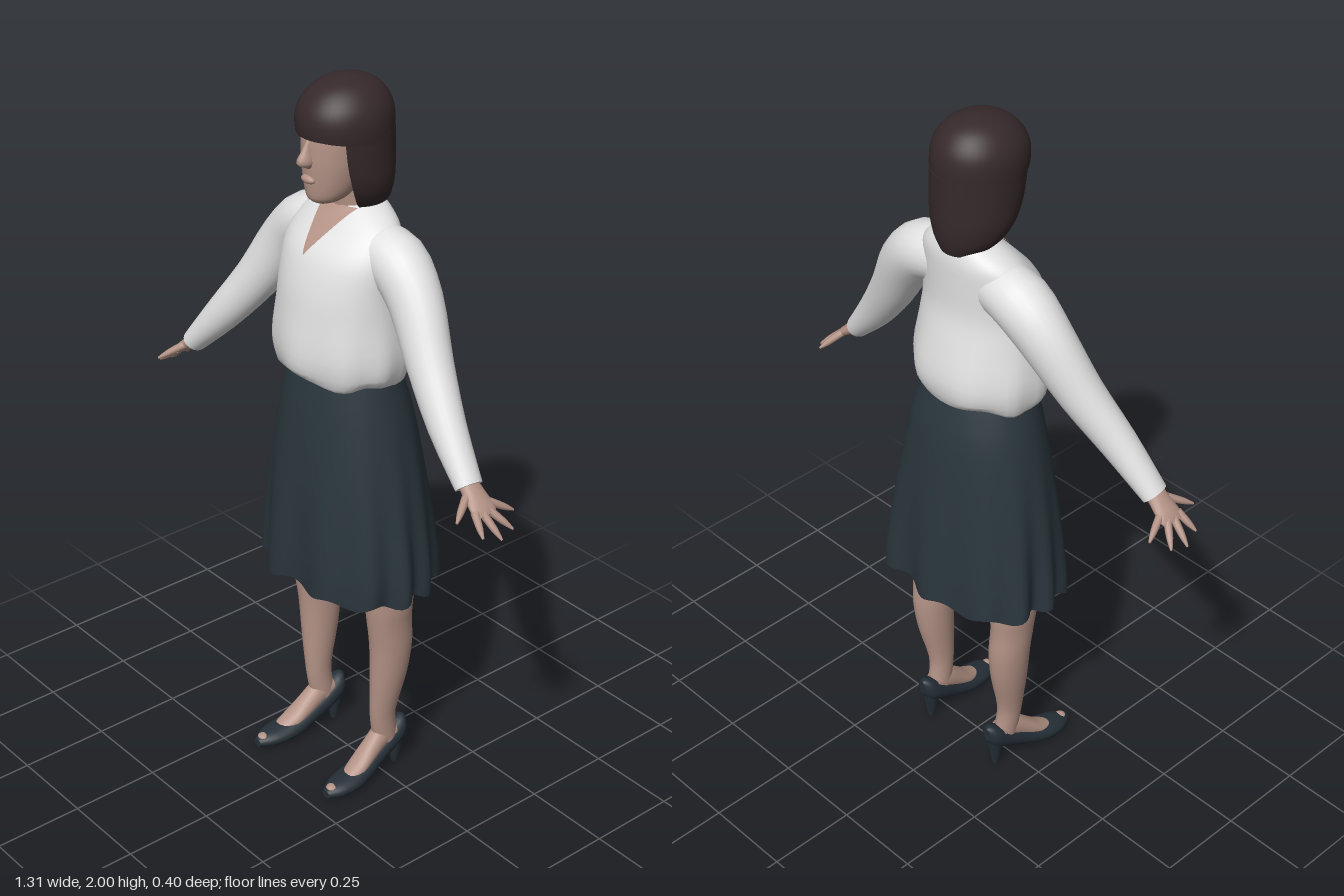
import * as THREE from 'three';

const mat = (name, color, side = THREE.FrontSide) => {
  const m = new THREE.MeshStandardMaterial({ color, side });
  m.name = name;
  return m;
};
const V = (x, y, z) => new THREE.Vector3(x, y, z);
const Y = V(0, 1, 0), Z = V(0, 0, 1);

// Catmull-Rom refinement of rows [x, y, z, radiusU, radiusV]
function smooth(rows, steps = 3) {
  const out = [], last = rows.length - 1;
  for (let i = 0; i < last; i++) {
    const p = [rows[Math.max(i - 1, 0)], rows[i], rows[i + 1], rows[Math.min(i + 2, last)]];
    for (let s = 0; s < steps; s++) {
      const t = s / steps;
      out.push(p[1].map((b, k) => {
        const a = p[0][k], c = p[2][k], d = p[3][k];
        return b + 0.5 * t * (c - a + t * (2 * a - 5 * b + 4 * c - d + t * (3 * (b - c) + d - a)));
      }));
    }
  }
  out.push(rows[last]);
  return out;
}

// Skin a surface over elliptical rings; rings face the path, or a fixed axis when given
function loft(rows, { axis, ref = Z, n = 24, arc = [0, Math.PI * 2], mod, caps = true } = {}) {
  const pos = [], idx = [], rings = smooth(rows);
  const closed = arc[1] - arc[0] > 6.28, cols = closed ? n : n + 1;
  rings.forEach((r, i) => {
    const a = rings[Math.max(i - 1, 0)], b = rings[Math.min(i + 1, rings.length - 1)];
    const t = axis ? axis.clone() : V(b[0] - a[0], b[1] - a[1], b[2] - a[2]).normalize();
    const v = ref.clone().addScaledVector(t, -ref.dot(t)).normalize();
    const u = t.clone().cross(v);
    for (let j = 0; j < cols; j++) {
      const ang = arc[0] + (arc[1] - arc[0]) * j / n;
      const p = V(r[0], r[1], r[2])
        .addScaledVector(u, Math.max(r[3], 0.001) * Math.cos(ang))
        .addScaledVector(v, Math.max(r[4], 0.001) * Math.sin(ang));
      if (mod) mod(p, ang);
      pos.push(p.x, p.y, p.z);
    }
  });
  for (let i = 0; i < rings.length - 1; i++) {
    for (let j = 0; j < n; j++) {
      const k = (j + 1) % cols, a = i * cols, b = a + cols;
      idx.push(a + j, b + j, a + k, b + j, b + k, a + k);
    }
  }
  if (caps) [0, rings.length - 1].forEach((i, end) => {
    const start = pos.length / 3;
    pos.push(...pos.slice(i * cols * 3, (i + 1) * cols * 3), ...rings[i].slice(0, 3));
    for (let j = 0; j < n; j++) {
      const a = start + j, b = start + (j + 1) % cols, c = start + cols;
      idx.push(...(end ? [c, b, a] : [c, a, b]));
    }
  });
  const g = new THREE.BufferGeometry();
  g.setAttribute('position', new THREE.Float32BufferAttribute(pos, 3));
  g.setIndex(idx);
  g.computeVertexNormals();
  return g;
}

export function createModel() {
  const skin = mat('skin', 0xb49386);
  const white = mat('blouse white', 0xe2e2e2);
  const navy = mat('skirt navy', 0x2a363d, THREE.DoubleSide);
  const brown = mat('hair brown', 0x36292b, THREE.DoubleSide);
  const leather = mat('shoe leather', 0x252f37);

  const model = new THREE.Group();
  const add = (name, geo, material, parent = model) => {
    const m = new THREE.Mesh(geo, material);
    m.name = name;
    parent.add(m);
    return m;
  };

  // Blouse body, gathered over the waistband
  const torso = [
    [0, 1.212, 0.02, 0.16, 0.115], [0, 1.235, 0.02, 0.186, 0.15], [0, 1.3, 0.02, 0.197, 0.162],
    [0, 1.4, 0.025, 0.186, 0.146], [0, 1.48, 0.028, 0.18, 0.13], [0, 1.56, 0.015, 0.18, 0.115],
    [0, 1.62, -0.01, 0.16, 0.09], [0, 1.65, -0.022, 0.125, 0.074], [0, 1.672, -0.03, 0.082, 0.06]];
  add('blouse', loft(torso, {
    axis: Y, n: 48,
    mod: (p, a) => {
      const w = THREE.MathUtils.clamp((1.42 - p.y) / 0.2, 0, 1);
      const f = 1 + 0.025 * w * Math.sin(9 * a + Math.sin(2 * a));
      p.x *= f;
      p.z *= f;
      if (p.y < 1.25) p.y += 0.008 * Math.sin(5 * a);
    },
  }), white);

  // Bare chest in the V neckline, laid just over the blouse front
  const rings = smooth(torso);
  const frontZ = (x, y) => {
    const i = Math.max(1, rings.findIndex(r => r[1] >= Math.min(y, 1.672)));
    const a = rings[i - 1], b = rings[i];
    const t = THREE.MathUtils.clamp((y - a[1]) / (b[1] - a[1]), 0, 1);
    const [, , z, rx, rz] = a.map((v, k) => v + (b[k] - v) * t);
    return z + rz * Math.sqrt(Math.max(0, 1 - (x / rx) ** 2));
  };
  const chest = new THREE.PlaneGeometry(1, 1, 6, 12), cp = chest.attributes.position;
  for (let i = 0; i < cp.count; i++) {
    const h = cp.getY(i) + 0.5, y = 1.557 + h * 0.114;
    const x = cp.getX(i) * 2 * (0.002 + 0.058 * h) - 0.01 * (1 - h);
    cp.setXYZ(i, x, y, frontZ(x, y) + 0.005);
  }
  chest.computeVertexNormals();
  add('neckline', chest, skin);

  // Flared skirt with folds deepening toward the hem
  add('skirt', loft([
    [0, 0.61, -0.003, 0.255, 0.182], [0.003, 0.7, -0.001, 0.254, 0.182], [0.002, 0.9, 0.002, 0.232, 0.172],
    [0, 1.1, 0.004, 0.197, 0.152], [0, 1.2, 0.01, 0.174, 0.13], [0, 1.25, 0.015, 0.16, 0.115]], {
    axis: Y, n: 96, caps: false,
    mod: (p, a) => {
      const w = THREE.MathUtils.clamp((1.2 - p.y) / 0.6, 0, 1);
      const f = 1 + 0.08 * w * Math.sin(2 * a) ** 2
        + w * w * (0.055 * Math.sin(11 * a + 1.3 * Math.sin(2 * a)) + 0.025 * Math.sin(7 * a + 1));
      p.x *= f;
      p.z *= f;
      if (p.y < 0.64) p.y += 0.01 * Math.sin(11 * a + 2);
    },
  }), navy);

  // Head, nose and neck
  add('neck', loft([[0, 1.6, -0.02, 0.065, 0.055], [0, 1.68, -0.012, 0.05, 0.052],
    [0, 1.78, 0, 0.052, 0.058]], { axis: Y }), skin);
  add('head', loft([
    [0, 1.686, 0.07, 0.018, 0.025], [0, 1.7, 0.066, 0.044, 0.052], [0, 1.73, 0.05, 0.064, 0.074],
    [0, 1.78, 0.032, 0.08, 0.096], [0, 1.82, 0.02, 0.088, 0.108], [0, 1.88, 0.012, 0.094, 0.11],
    [0, 1.94, 0.008, 0.075, 0.085]], { axis: Y, n: 32 }), skin);
  add('nose', loft([[0, 1.787, 0.125, 0.01, 0.008], [0, 1.804, 0.131, 0.018, 0.029],
    [0, 1.835, 0.127, 0.01, 0.016], [0, 1.866, 0.118, 0.006, 0.006]], { axis: Y, n: 12 }), skin);
  const lips = add('lips', new THREE.SphereGeometry(1, 16, 8), skin);
  lips.scale.set(0.024, 0.011, 0.012);
  lips.position.set(0, 1.757, 0.126);

  // Bobbed hair: crown with a fringe, and an open-fronted lower shell
  const hair = new THREE.Group();
  hair.name = 'hair';
  model.add(hair);
  add('crownAndFringe', loft([
    [0, 1.85, 0.008, 0.114, 0.126], [0, 1.9, 0.01, 0.115, 0.128], [0, 1.94, 0.008, 0.104, 0.116],
    [0, 1.975, 0.005, 0.075, 0.085], [0, 1.993, 0.003, 0.04, 0.045], [0, 2, 0.002, 0.002, 0.002]], {
    axis: Y, n: 40,
    mod: (p, a) => { if (p.y < 1.86) p.y += 0.014 * Math.max(0, Math.sin(a)); },
  }), brown, hair);
  add('bob', loft([
    [0, 1.655, -0.042, 0.058, 0.062], [0, 1.69, -0.024, 0.09, 0.09], [0, 1.74, -0.01, 0.109, 0.109],
    [0, 1.8, 0, 0.113, 0.12], [0, 1.87, 0.006, 0.114, 0.126]], {
    axis: Y, n: 40, arc: [Math.PI * 0.79, Math.PI * 2.21],
  }), brown, hair);

  for (const s of [1, -1]) {
    const side = s > 0 ? 'left' : 'right';
    const wz = s > 0 ? 0.062 : 0.1;

    // Sleeve from shoulder to wrist
    const arm = new THREE.Group();
    arm.name = side + 'Arm';
    model.add(arm);
    add('sleeve', loft([
      [s * 0.08, 1.57, -0.012, 0.07, 0.07], [s * 0.17, 1.555, -0.015, 0.078, 0.078],
      [s * 0.25, 1.48, -0.01 + wz * 0.05, 0.074, 0.068], [s * 0.335, 1.35, wz * 0.3, 0.062, 0.058],
      [s * 0.43, 1.225, wz * 0.72, 0.05, 0.048], [s * 0.532, 1.108, wz, 0.032, 0.037]]), white, arm);

    // Palm and spread fingers
    const hand = new THREE.Group();
    hand.name = side + 'Hand';
    hand.position.set(s * 0.53, 1.11, wz);
    arm.add(hand);
    add('palm', loft([[-s * 0.01, 0.012, 0, 0.022, 0.026], [s * 0.025, -0.018, 0, 0.018, 0.032],
      [s * 0.055, -0.042, 0, 0.013, 0.037], [s * 0.07, -0.054, 0, 0.007, 0.03]], { n: 16 }), skin, hand);
    const fingers = [
      [0.02, -0.015, 0.025, 0.056, -0.05, 0.087], [0.055, -0.042, 0.028, 0.106, -0.086, 0.045],
      [0.06, -0.046, 0.008, 0.122, -0.1, -0.003], [0.058, -0.044, -0.012, 0.11, -0.092, -0.05],
      [0.045, -0.034, -0.026, 0.07, -0.07, -0.088]];
    fingers.forEach(([x, y, z, tx, ty, tz], i) => {
      const at = (t, r) => [s * (x + (tx - x) * t), y + (ty - y) * t, z + (tz - z) * t, r, r];
      add(i ? 'finger' : 'thumb', loft([at(0, 0.011), at(0.6, 0.009), at(1, 0.003)],
        { ref: V(s * 0.5, 0.8, 0.1), n: 8 }), skin, hand);
    });

    // Bare leg and instep
    const leg = new THREE.Group();
    leg.name = side + 'Leg';
    model.add(leg);
    const mirror = rows => rows.map(([x, ...r]) => [s * x, ...r]);
    add('leg', loft(mirror([
      [0.135, 0.07, -0.025, 0.027, 0.035], [0.137, 0.13, -0.015, 0.029, 0.038], [0.14, 0.2, -0.008, 0.031, 0.04],
      [0.148, 0.32, -0.02, 0.044, 0.056], [0.152, 0.42, -0.024, 0.05, 0.064], [0.154, 0.5, -0.016, 0.051, 0.067],
      [0.152, 0.6, -0.012, 0.058, 0.075], [0.115, 0.9, 0, 0.08, 0.09]]), { axis: Y }), skin, leg);
    add('foot', loft(mirror([
      [0.135, 0.115, -0.045, 0.026, 0.032], [0.136, 0.108, 0, 0.028, 0.042], [0.14, 0.078, 0.045, 0.03, 0.036],
      [0.145, 0.05, 0.09, 0.032, 0.024], [0.15, 0.036, 0.13, 0.024, 0.014]]), { axis: Z, ref: Y }), skin, leg);

    // Pump with a slim heel and a peep toe
    const shoe = new THREE.Group();
    shoe.name = side + 'Shoe';
    model.add(shoe);
    add('upper', loft(mirror([
      [0.133, 0.122, -0.09, 0.012, 0.022], [0.133, 0.11, -0.072, 0.031, 0.038], [0.134, 0.085, -0.03, 0.035, 0.037],
      [0.138, 0.058, 0.02, 0.035, 0.034], [0.143, 0.036, 0.07, 0.041, 0.031], [0.148, 0.026, 0.12, 0.045, 0.026],
      [0.151, 0.021, 0.17, 0.036, 0.021], [0.152, 0.017, 0.205, 0.014, 0.012]]), { axis: Z, ref: Y }), leather, shoe);
    const heel = add('heel', new THREE.CylinderGeometry(0.027, 0.01, 0.09, 12), leather, shoe);
    heel.position.set(s * 0.133, 0.045, -0.058);
    const toe = add('peepToe', new THREE.SphereGeometry(1, 12, 8), skin, shoe);
    toe.scale.set(0.016, 0.008, 0.016);
    toe.position.set(s * 0.152, 0.032, 0.184);
  }
  return model;
}
